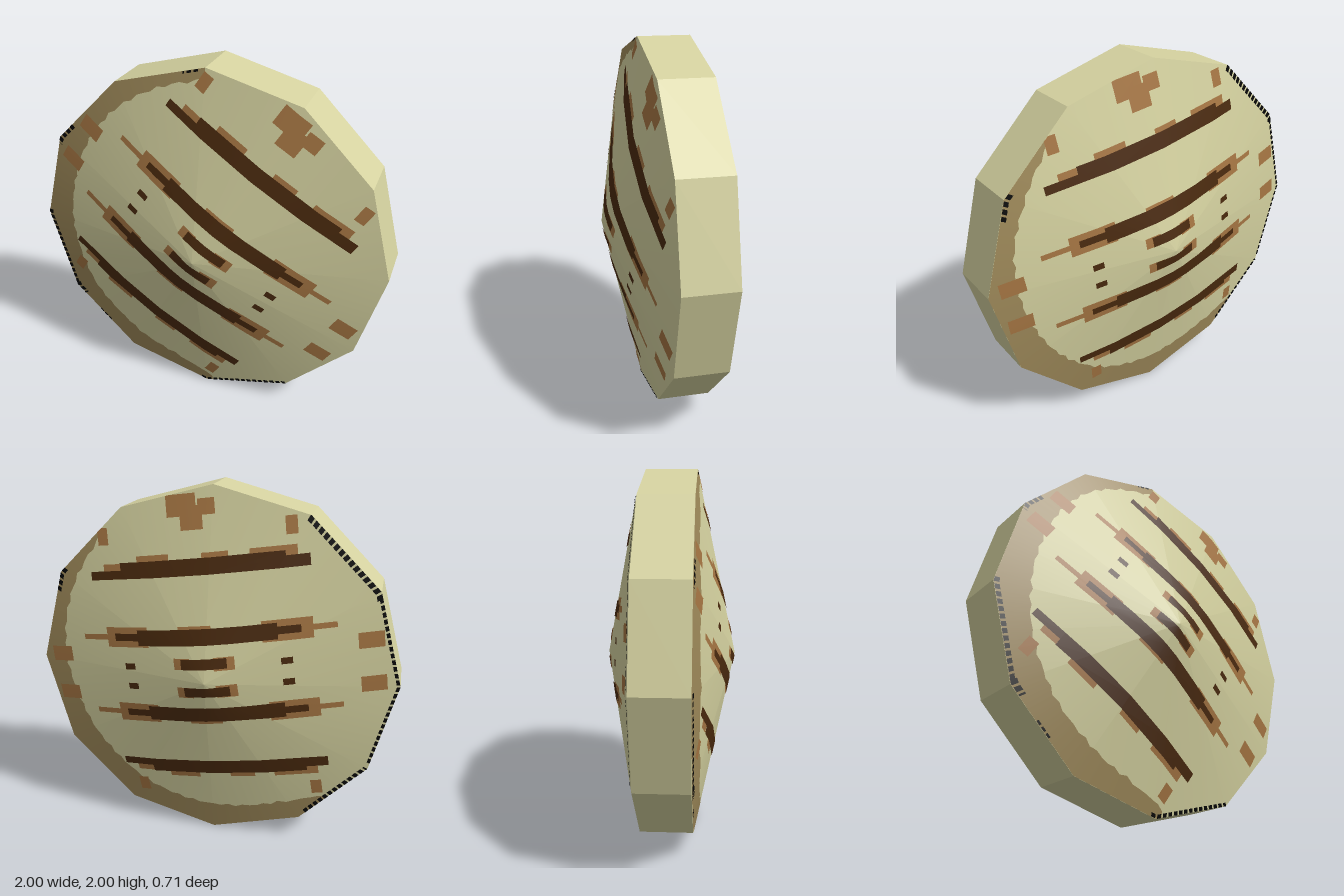
import * as THREE from 'three';

const SIDES = 12, RIM = 0.14, RISE = 0.215, MID = 0.025;
const rad = d => d * Math.PI / 180;
const mat = (name, color) => new THREE.MeshStandardMaterial({ name, color });

// Distance from the centre to the twelve-sided outline at an angle in degrees
const edgeRadius = d => Math.cos(rad(15)) / Math.cos(rad((((d % 30) + 30) % 30) - 15));
const polar = (r, d) => [r * Math.cos(rad(d)), r * Math.sin(rad(d))];

// Keep the part of a convex polygon where nx*x + ny*y <= limit
function clip(poly, nx, ny, limit) {
  const out = [];
  poly.forEach((p, i) => {
    const q = poly[(i + 1) % poly.length];
    const dp = nx * p[0] + ny * p[1] - limit, dq = nx * q[0] + ny * q[1] - limit;
    if (dp <= 0) out.push(p);
    if (dp * dq < 0) {
      const t = dp / (dp - dq);
      out.push([p[0] + (q[0] - p[0]) * t, p[1] + (q[1] - p[1]) * t]);
    }
  });
  return out;
}

// Drape flat convex polygons over the shallow twelve-sided cone, with smooth normals
function drape(name, polys, material, lift) {
  const pos = [], nor = [];
  for (const poly of polys) for (let i = 0; i < SIDES; i++) {
    const a = rad(i * 30), b = rad(i * 30 + 30), m = rad(i * 30 + 15);
    let p = clip(poly, Math.sin(a), -Math.cos(a), 0);
    p = clip(p, -Math.sin(b), Math.cos(b), 0);
    p = clip(p, Math.cos(m), Math.sin(m), Math.cos(rad(15)));
    for (let k = 1; k + 1 < p.length; k++) for (const [x, y] of [p[0], p[k], p[k + 1]]) {
      const d = (x * Math.cos(m) + y * Math.sin(m)) / Math.cos(rad(15));
      pos.push(x, y, RIM + RISE * (1 - d) + lift);
      const ang = Math.hypot(x, y) < 1e-6 ? m : Math.atan2(y, x);
      const n = new THREE.Vector3(RISE * Math.cos(ang), RISE * Math.sin(ang), 1).normalize();
      nor.push(n.x, n.y, n.z);
    }
  }
  const g = new THREE.BufferGeometry();
  g.setAttribute('position', new THREE.Float32BufferAttribute(pos, 3));
  g.setAttribute('normal', new THREE.Float32BufferAttribute(nor, 3));
  const mesh = new THREE.Mesh(g, material);
  mesh.name = name;
  return mesh;
}

const rect = (a0, a1, b0, b1) => [[a0, b0], [a1, b0], [a1, b1], [a0, b1]];
const spot = (a, b, w, h) => rect(a - w / 2, a + w / 2, b - h / 2, b + h / 2);

// Painted pattern, with the stripes running along the first axis
function pattern() {
  const dark = [], brown = [], shade = [];
  for (const s of [1, -1]) {
    const band = (list, a0, a1, c0, c1) =>
      list.push(rect(a0, a1, MID + Math.min(s * c0, s * c1), MID + Math.max(s * c0, s * c1)));
    // outer stripe
    band(dark, -0.42, 0.47, 0.53, 0.615);
    band(dark, -0.6, -0.42, 0.53, 0.575);
    band(dark, 0.47, 0.59, 0.53, 0.59);
    band(brown, -0.52, -0.42, 0.56, 0.61);
    band(brown, -0.32, -0.14, 0.61, 0.645);
    band(brown, 0.04, 0.18, 0.61, 0.64);
    band(brown, 0.29, 0.53, 0.56, 0.64);
    // inner stripe with thin tails
    band(dark, -0.36, 0.4, 0.175, 0.26);
    band(dark, -0.5, 0.52, 0.2, 0.24);
    band(brown, -0.7, 0.7, 0.205, 0.235);
    band(brown, -0.55, -0.3, 0.165, 0.275);
    band(brown, 0.32, 0.58, 0.165, 0.275);
    band(brown, -0.12, 0.06, 0.25, 0.275);
    // centre blob and dots
    band(dark, -0.12, 0.13, 0.05, 0.105);
    band(brown, -0.16, -0.07, 0.05, 0.11);
    band(brown, 0.06, 0.17, 0.04, 0.11);
    for (const a of [-0.43, 0.435]) band(dark, a - 0.03, a + 0.03, 0.04, 0.075);
    // side spots near the rim
    for (const a of [-0.868, 0.862]) brown.push(spot(a, MID + s * 0.118, 0.13, 0.085));
  }
  // clustered spot and loose spots
  brown.push(rect(-0.13, 0.03, 0.85, 0.96), rect(-0.06, 0.06, 0.78, 0.9), rect(0.04, 0.13, 0.85, 0.93));
  for (const [a, b] of [[0.509, 0.76], [-0.507, 0.78], [0.508, -0.708], [-0.508, -0.688]])
    brown.push(spot(a, b, 0.06, 0.09));
  // shaded crescent: inner radius by angle
  const inner = [[90, 0.96], [93, 0.93], [109, 0.9], [125, 0.877], [144, 0.844], [162, 0.82], [180, 0.815],
    [198, 0.82], [215, 0.827], [233, 0.828], [256, 0.854], [268, 0.91], [272, 0.96]];
  for (let i = 0; i + 1 < inner.length; i++) {
    const [d0, r0] = inner[i], [d1, r1] = inner[i + 1];
    const n = Math.ceil((d1 - d0) / 3);
    const at = k => {
      const d = d0 + (d1 - d0) * k / n;
      return [r0 + (r1 - r0) * k / n + 0.008 * Math.sin(d * 0.9), d + 33];
    };
    for (let k = 0; k < n; k++) {
      const [ra, da] = at(k), [rb, db] = at(k + 1);
      shade.push([polar(ra, da), polar(1.05, da), polar(1.05, db), polar(rb, db)]);
    }
  }
  return { dark, brown, shade };
}

// Broken black flecks along the outline
function flecks(arcs) {
  const out = [];
  for (const [from, to, depth] of arcs) for (let d = from; d < to; d += 2.2) {
    const e = Math.min(d + 1.5, to);
    out.push([polar(edgeRadius(d) - depth, d), polar(1.05, d), polar(1.05, e), polar(edgeRadius(e) - depth, e)]);
  }
  return out;
}

export function createModel() {
  const cream = mat('cream', 0xd5d2a0), shadeMat = mat('tan', 0x9f8a5a);
  const brownMat = mat('brown', 0xa67643), darkMat = mat('dark brown', 0x4a2a0e), black = mat('black', 0x060606);
  const model = new THREE.Group();
  model.name = 'shield';

  // flat-sided rim
  let rimGeo = new THREE.CylinderGeometry(1, 1, RIM * 2, SIDES, 1, true).rotateX(Math.PI / 2).toNonIndexed();
  rimGeo.computeVertexNormals();
  const rim = new THREE.Mesh(rimGeo, cream);
  rim.name = 'rim';
  model.add(rim);

  const { dark, brown, shade } = pattern();
  const outline = Array.from({ length: SIDES }, (_, i) => polar(1, i * 30));

  // one painted cone face, its pattern turned by an angle
  function face(name, turn, arcs) {
    const g = new THREE.Group();
    g.name = name;
    const c = Math.cos(rad(turn)), s = Math.sin(rad(turn));
    const turned = polys => polys.map(p => p.map(([a, b]) => [a * c - b * s, a * s + b * c]));
    g.add(
      drape('cone', [outline], cream, 0),
      drape('crescent', turned(shade), shadeMat, 0.0015),
      drape('brownMarks', turned(brown), brownMat, 0.003),
      drape('darkStripes', turned(dark), darkMat, 0.0045),
      drape('edgeFlecks', flecks(arcs), black, 0.0045));
    model.add(g);
    return g;
  }
  face('frontFace', -33, [[92, 97, 0.012], [143, 152, 0.025], [179, 209, 0.025], [209, 214, 0.035],
    [222, 228, 0.012], [268, 300, 0.02]]);
  face('backFace', 7.5, [[-57, -30, 0.025], [-28, 28, 0.018], [28, 61, 0.03], [148, 156, 0.025]])
    .rotation.y = Math.PI;

  model.position.y = 1;
  const root = new THREE.Group();
  root.name = 'model';
  root.add(model);
  return root;
}
